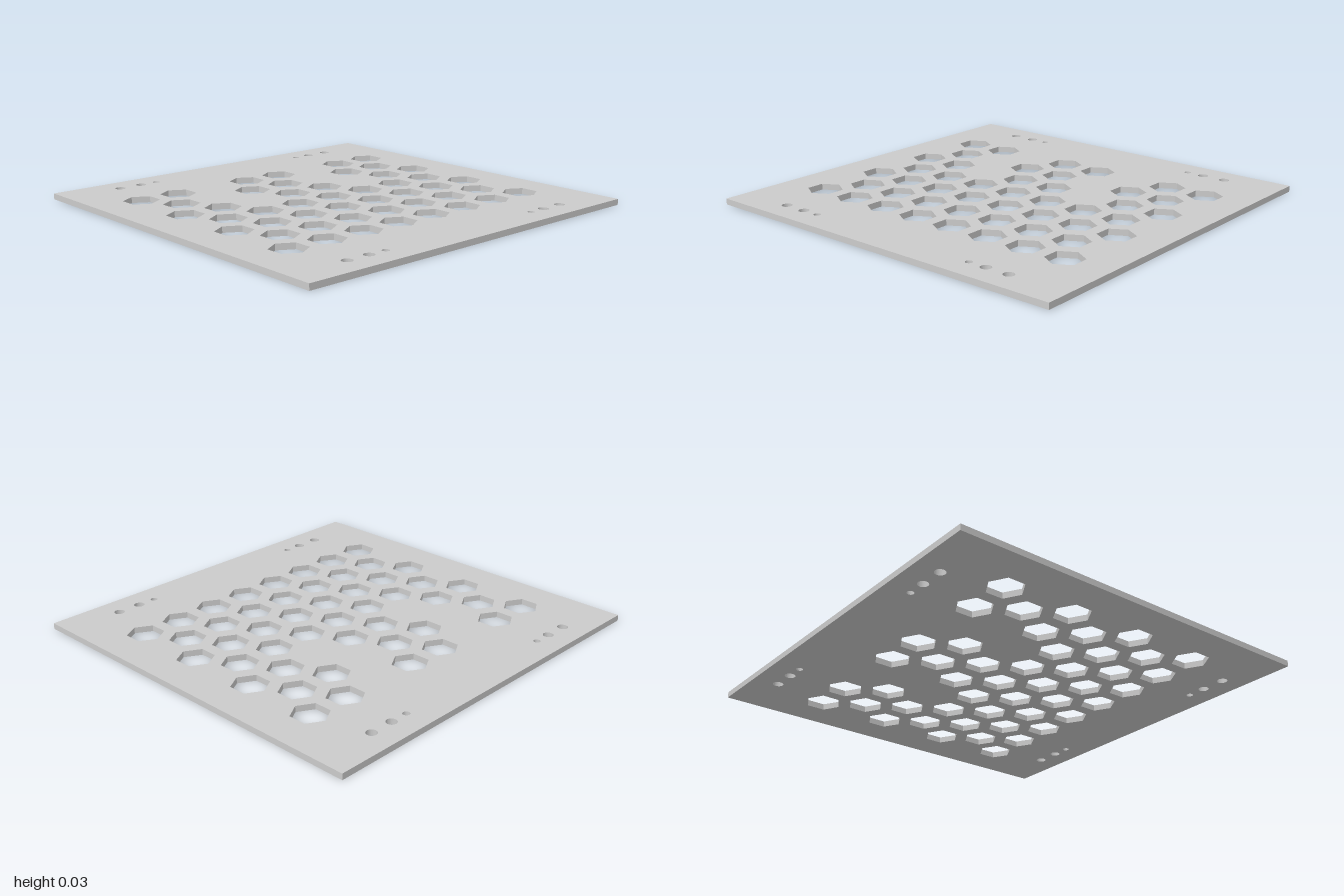
import * as THREE from 'three';

const HALF_X = 0.977, HALF_Z = 1, THICKNESS = 0.03;
const PITCH = 0.2157, HEX_RADIUS = 0.09;
const CENTRE_Z = -0.002; // the hole pattern sits slightly off centre

// Rows of hexagons in each column, from the back to the front
const COLUMNS = ['11011011', '1101101', '11011011', '1111111', '11111111', '1111111', '11111111'];

// Mounting holes: distance from the pattern centre and radius
const MOUNTS = [[0.694, 0.026], [0.571, 0.026], [0.477, 0.017]];
const MOUNT_X = 0.853;

// Polygonal hole in plan; the shape's y axis becomes -z
function hole(x, z, radius, sides) {
  const points = [];
  for (let i = 0; i < sides; i++) {
    const a = -i * 2 * Math.PI / sides;
    points.push(new THREE.Vector2(x + radius * Math.cos(a), -z + radius * Math.sin(a)));
  }
  return new THREE.Path(points);
}

export function createModel() {
  const outline = new THREE.Shape([
    new THREE.Vector2(-HALF_X, -HALF_Z),
    new THREE.Vector2(HALF_X, -HALF_Z),
    new THREE.Vector2(HALF_X, HALF_Z),
    new THREE.Vector2(-HALF_X, HALF_Z),
  ]);

  // Staggered honeycomb with blank cells
  COLUMNS.forEach((rows, c) => {
    const x = (c - 3) * PITCH * Math.sqrt(3) / 2;
    [...rows].forEach((cell, r) => {
      const z = CENTRE_Z + (r - (rows.length - 1) / 2) * PITCH;
      if (cell === '1') outline.holes.push(hole(x, z, HEX_RADIUS, 6));
    });
  });

  // Round mounting holes mirrored to the four corners
  for (const sx of [-1, 1]) {
    for (const sz of [-1, 1]) {
      for (const [z, radius] of MOUNTS) {
        outline.holes.push(hole(sx * MOUNT_X, CENTRE_Z + sz * z, radius, 32));
      }
    }
  }

  const geometry = new THREE.ExtrudeGeometry(outline, { depth: THICKNESS, bevelEnabled: false });
  geometry.rotateX(-Math.PI / 2);

  const plate = new THREE.Mesh(geometry, new THREE.MeshStandardMaterial({ color: 0xcccccc }));
  plate.name = 'perforatedPlate';

  const group = new THREE.Group();
  group.name = 'ventPanel';
  group.add(plate);
  return group;
}
